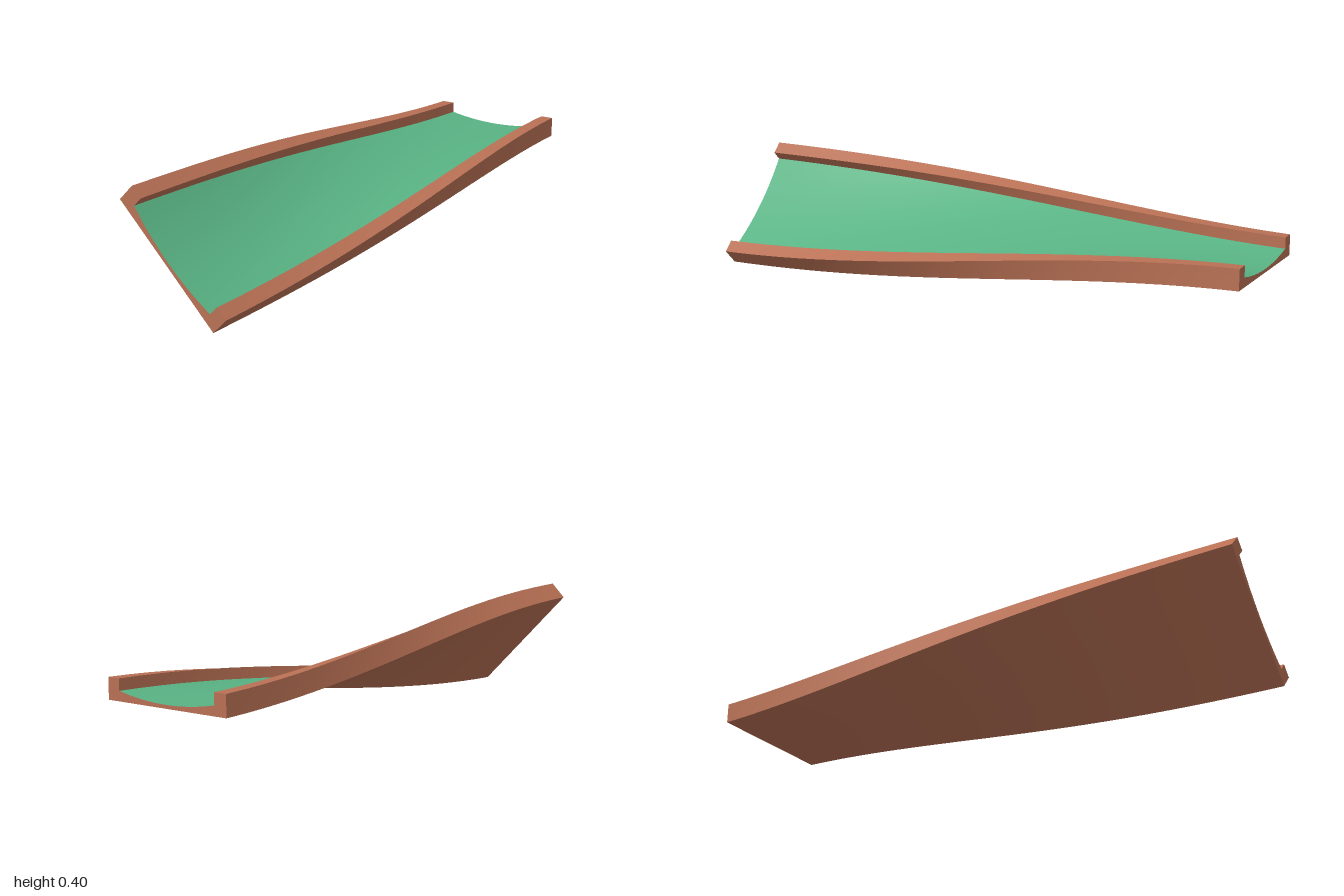
import * as THREE from 'three';

const HALF = 0.25, INNER = 0.202, TOP = 0.072, LIP = 0.033, DIP = 0.012;
const TWIST = Math.PI / 4, STEPS = 24, ARC = 16;
const CENTRE = [-0.0055, 0.179];

// Turn a point of the cross-section about the long axis, for t = 0 (back) to 1 (front)
function place([x, y], t) {
  const ease = 0.25 * t + 0.75 * t * t * (3 - 2 * t);
  const c = Math.cos(ease * TWIST), s = Math.sin(ease * TWIST);
  return [CENTRE[0] + x * c + y * s, CENTRE[1] - x * s + y * c, -1 + 2 * t];
}

// Sweep a run of cross-section points along the length; the run goes anticlockwise
function sweep(run) {
  const pos = [], index = [], n = run.length;
  for (let i = 0; i <= STEPS; i++) for (const p of run) pos.push(...place(p, i / STEPS));
  for (let i = 0; i < STEPS; i++) {
    for (let j = 0; j < n - 1; j++) {
      const a = i * n + j, b = a + 1, c = a + n, d = c + 1;
      index.push(a, b, c, b, d, c);
    }
  }
  const geo = new THREE.BufferGeometry();
  geo.setAttribute('position', new THREE.Float32BufferAttribute(pos, 3));
  geo.setIndex(index);
  geo.computeVertexNormals();
  return geo;
}

// Flat end face, filled from the placed outline
function endCap(outline, t) {
  const pts = outline.map((p) => {
    const [x, y] = place(p, t);
    return new THREE.Vector2(x, y);
  });
  const geo = new THREE.ShapeGeometry(new THREE.Shape(pts));
  if (t === 0) geo.rotateY(Math.PI).scale(-1, 1, 1);
  geo.translate(0, 0, -1 + 2 * t);
  if (t === 0) {
    // Face the back
    const idx = geo.index.array;
    for (let i = 0; i < idx.length; i += 3) [idx[i], idx[i + 1]] = [idx[i + 1], idx[i]];
    geo.computeVertexNormals();
    const p = geo.attributes.position, n = geo.attributes.normal;
    const i0 = idx[0], i1 = idx[1], i2 = idx[2];
    const cross = (p.getX(i1) - p.getX(i0)) * (p.getY(i2) - p.getY(i0))
      - (p.getY(i1) - p.getY(i0)) * (p.getX(i2) - p.getX(i0));
    if (cross > 0) {
      for (let i = 0; i < idx.length; i += 3) [idx[i], idx[i + 1]] = [idx[i + 1], idx[i]];
    }
    for (let i = 0; i < n.count; i++) n.setXYZ(i, 0, 0, -1);
  }
  return geo;
}

export function createModel() {
  const group = new THREE.Group();
  group.name = 'twistedChannel';
  const brown = new THREE.MeshStandardMaterial({ color: 0xb87054 });
  brown.name = 'terracotta';
  const green = new THREE.MeshStandardMaterial({ color: 0x58b283 });
  green.name = 'green';
  const add = (name, geo, mat) => {
    const mesh = new THREE.Mesh(geo, mat);
    mesh.name = name;
    group.add(mesh);
  };

  // Hollowed floor, running from the +x wall to the -x wall
  const floor = [];
  for (let i = 0; i <= ARC; i++) {
    const u = 1 - (2 * i) / ARC;
    floor.push([u * INNER, DIP + (LIP - DIP) * u * u]);
  }
  add('floor', sweep(floor), green);

  // Underside
  const underside = [];
  for (let i = 0; i <= 8; i++) underside.push([-HALF + (2 * HALF * i) / 8, 0]);
  add('underside', sweep(underside), brown);

  // Two side walls, each with an outer, top and inner face
  for (const [side, s] of [['left', 1], ['right', -1]]) {
    const corners = [[s * HALF, 0], [s * HALF, TOP], [s * INNER, TOP], [s * INNER, LIP]];
    ['WallOuter', 'WallTop', 'WallInner'].forEach((part, i) => {
      const run = [corners[i], corners[i + 1]];
      add(side + part, sweep(s > 0 ? run : run.reverse()), brown);
    });
  }

  // End faces
  const outline = [[-HALF, 0], [HALF, 0], [HALF, TOP], [INNER, TOP],
    ...floor, [-INNER, TOP], [-HALF, TOP]];
  add('frontEnd', endCap(outline, 1), brown);
  add('backEnd', endCap(outline, 0), brown);
  return group;
}
